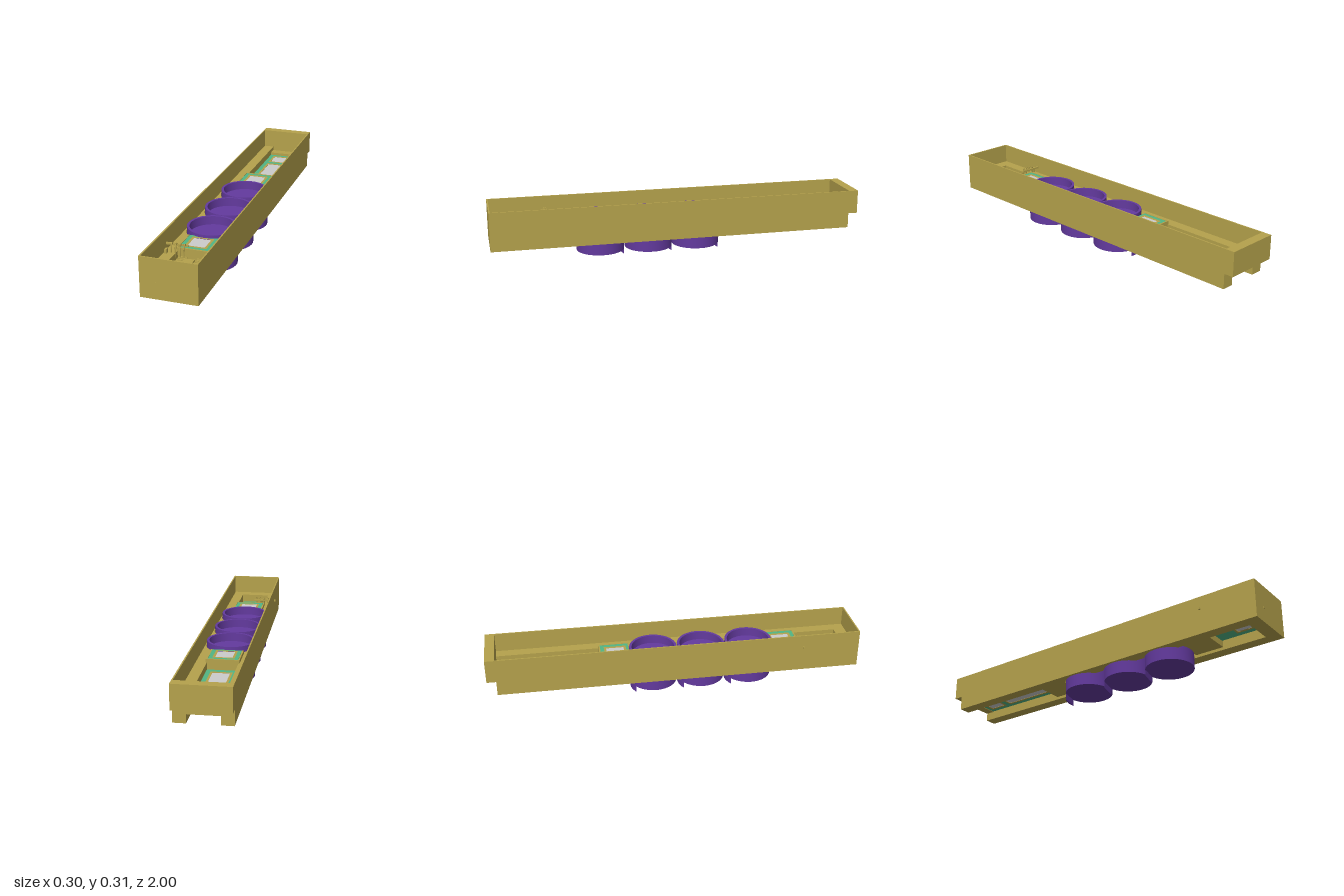
import * as THREE from 'three';
import { toCreasedNormals } from 'three/addons/utils/BufferGeometryUtils.js';

const mat = (color) => new THREE.MeshStandardMaterial({ color });
const gold = mat(0xb5a24c), purple = mat(0x633a9e), green = mat(0x52b585), grey = mat(0xcccccc);
const CX = 0.0035;                       // centre line of the case
const WHEELS = [0.415, 0.152, -0.11];    // wheel positions along z

export function createModel() {
  const root = new THREE.Group();
  const add = (name, geo, material, parent = root) => {
    const m = new THREE.Mesh(geo, material);
    m.name = name;
    parent.add(m);
    return m;
  };
  // box given by its limits
  const box = (name, x0, x1, y0, y1, z0, z1, material = gold, parent = root) => {
    const m = add(name, new THREE.BoxGeometry(x1 - x0, y1 - y0, z1 - z0), material, parent);
    m.position.set((x0 + x1) / 2, (y0 + y1) / 2, (z0 + z1) / 2);
    return m;
  };
  // plan outline (x, -z) raised from y0 to y1
  const raise = (shape, y0, y1) => new THREE.ExtrudeGeometry(shape,
    { depth: y1 - y0, bevelEnabled: false, curveSegments: 24 }).rotateX(-Math.PI / 2).translate(0, y0, 0);
  const rect = (path, x0, x1, z0, z1) => path.moveTo(x0, -z0).lineTo(x1, -z0).lineTo(x1, -z1).lineTo(x0, -z1).closePath();

  // lower case: two rails joined at the front, scooped out around the wheels
  const X0 = -0.14, X1 = 0.147, S = 0.08, R = 0.131;
  const a = Math.acos(S / R);
  const base = new THREE.Shape();
  base.moveTo(X0, 0.95).lineTo(X0, -1).lineTo(X1, -1).lineTo(X1, 0.95).lineTo(CX + S, 0.95);
  for (const z of [...WHEELS].reverse()) base.absarc(CX, -z, R, a, -a, true);
  base.lineTo(CX + S, -0.93).lineTo(CX - S, -0.93);
  for (const z of WHEELS) base.absarc(CX, -z, R, Math.PI + a, Math.PI - a, true);
  base.lineTo(CX - S, 0.95).closePath();
  add('lowerCase', toCreasedNormals(raise(base, 0.1, 0.203), 0.5), gold);

  // upper case: thin walls and a thick end cap
  const T = 0.007;
  box('rightWall', X0, X0 + T, 0.203, 0.307, -0.95, 1);
  box('leftWall', X1 - T, X1, 0.203, 0.307, -0.95, 1);
  box('frontWall', X0 + T, X1 - T, 0.203, 0.307, 1 - T, 1);
  box('endCap', X0, X1, 0.18, 0.307, -1, -0.95);
  box('endStep', CX - S, CX + S, 0.145, 0.18, -0.95, -0.9);

  // display board: green plate with framed grey windows showing on both faces
  const board = (name, x0, x1, y0, y1, z0, z1, windows) => {
    const g = new THREE.Group();
    g.name = name;
    root.add(g);
    const plate = rect(new THREE.Shape(), x0, x1, z0, z1);
    for (const [w, za, zb] of windows) {
      const b = 0.012;
      plate.holes.push(rect(new THREE.Path(), CX - w - b, CX + w + b, za - b, zb + b));
      const frame = rect(new THREE.Shape(), CX - w - b, CX + w + b, za - b, zb + b);
      frame.holes.push(rect(new THREE.Path(), CX - w, CX + w, za, zb));
      add('windowFrame', raise(frame, y0, y1), gold, g);
      box('window', CX - w, CX + w, y0 + 0.002, y1 - 0.002, za, zb, grey, g);
    }
    add('plate', raise(plate, y0, y1), green, g);
  };
  board('longBoard', CX - S, CX + S, 0.148, 0.165, -0.9, -0.4, [[0.045, -0.87, -0.78], [0.045, -0.73, -0.44]]);
  board('rearTile', CX - 0.077, CX + 0.08, 0.21, 0.22, -0.392, -0.24, [[0.045, -0.36, -0.265]]);
  board('frontTile', CX - 0.077, CX + 0.08, 0.21, 0.22, 0.53, 0.682, [[0.045, 0.555, 0.65]]);
  board('smallBoard', CX - 0.07, CX + 0.072, 0.148, 0.16, 0.69, 0.925, [[0.033, 0.805, 0.885]]);

  // carriers below the two raised tiles, with a thin rim
  for (const [z0, z1, edge] of [[-0.4, -0.24, -0.4], [0.53, 0.69, 0.682]]) {
    box('tileCarrier', CX - 0.079, CX + 0.079, 0.115, 0.21, z0, z1);
    box('carrierEdge', CX - 0.085, CX + 0.085, 0.203, 0.221, edge, edge + 0.008);
    for (const s of [-1, 1]) box('carrierSide', CX + s * 0.082 - 0.004, CX + s * 0.082 + 0.004, 0.203, 0.221, z0, z1);
  }

  // wheels: shallow cups with a wedge-shaped foot
  const cup = [[0, 0.035], [0.128, 0.035], [0.128, 0.235], [0.115, 0.235], [0.115, 0.19], [0, 0.19]]
    .map(([r, y]) => new THREE.Vector2(r, y));
  const wedge = new THREE.Shape().moveTo(0, 0);
  wedge.absarc(0, 0, 0.127, THREE.MathUtils.degToRad(81), THREE.MathUtils.degToRad(126), false).closePath();
  for (const z of WHEELS) {
    const wheel = new THREE.Group();
    wheel.name = 'wheel';
    wheel.position.set(CX, 0, z);
    root.add(wheel);
    add('cup', toCreasedNormals(new THREE.LatheGeometry(cup, 64), 0.6), purple, wheel);
    add('foot', toCreasedNormals(raise(wedge, 0, 0.036), 0.5), purple, wheel);
  }

  // connector in the front compartment: block with two combs of pins
  box('connectorBlock', CX - 0.025, CX + 0.025, 0.16, 0.19, 0.73, 0.77);
  for (const s of [-1, 1]) {
    for (let i = 0; i < 5; i++) {
      const x = CX + s * 0.046;
      box('pin', x - 0.021, x + 0.021, 0.175, 0.183, 0.7 + i * 0.016, 0.708 + i * 0.016);
    }
  }
  box('chip', CX + 0.047, CX + 0.062, 0.16, 0.175, 0.81, 0.85);
  box('terminal', CX - 0.05, CX - 0.01, 0.16, 0.175, 0.905, 0.92);

  // cross rod through the side wall with small hanging loops
  box('crossRod', -0.149, -0.02, 0.232, 0.242, 0.686, 0.694);
  for (let i = 0; i < 4; i++) {
    const x = -0.1 + i * 0.022;
    const loop = new THREE.CatmullRomCurve3([[0, 0.237, 0.69], [0, 0.25, 0.7], [0, 0.225, 0.71], [0, 0.18, 0.715]]
      .map(([dx, y, z]) => new THREE.Vector3(x + dx, y, z)));
    add('wireLoop', new THREE.TubeGeometry(loop, 10, 0.004, 6), gold);
  }
  box('sidePost', -0.127, -0.115, 0.203, 0.225, 0.715, 0.735);
  box('frontPin', -0.06, -0.05, 0.178, 0.188, 0.94, 1.002);
  return root;
}
